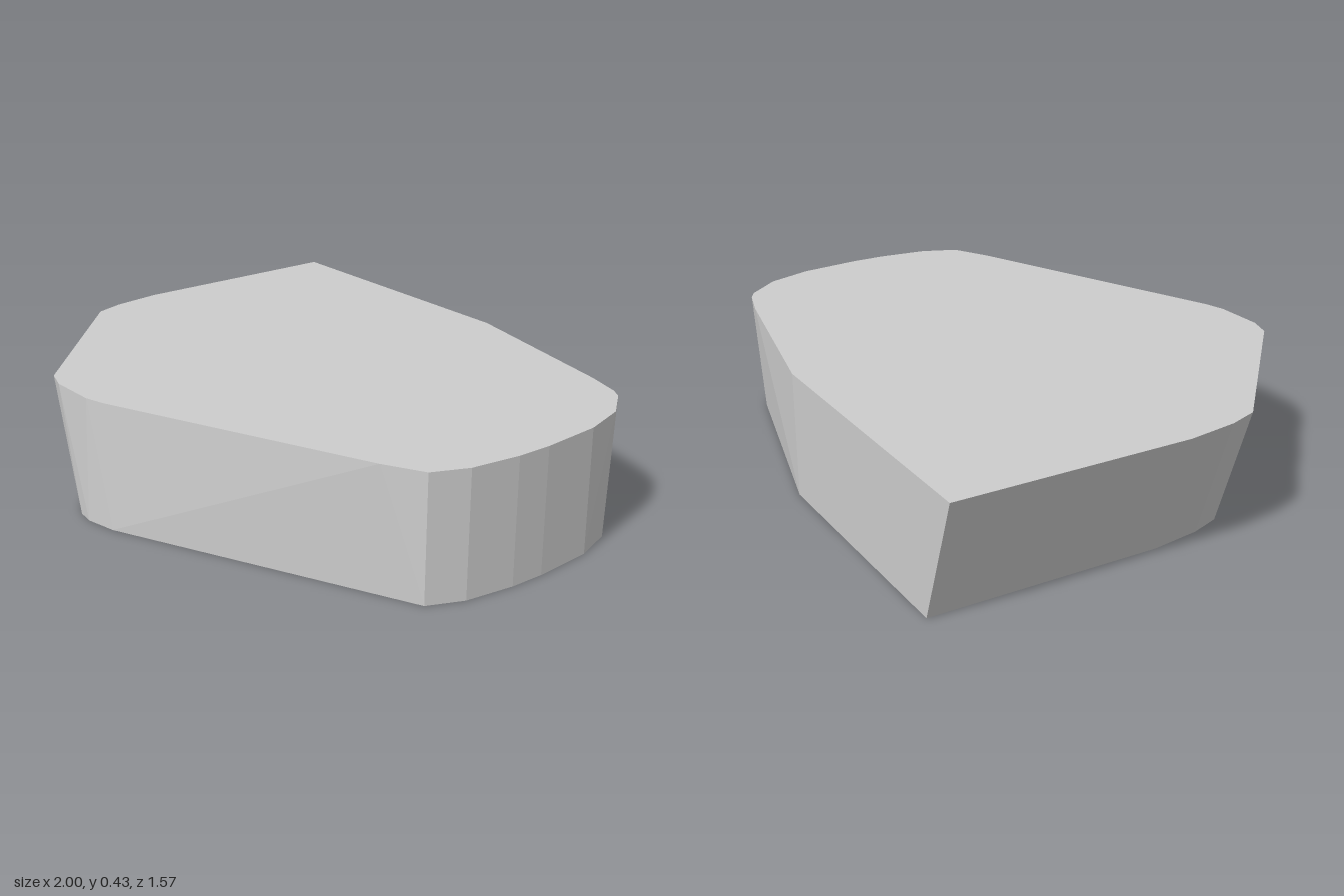
import * as THREE from 'three';
import { ConvexGeometry } from 'three/addons/geometries/ConvexGeometry.js';

const HEIGHT = 0.425;

// Outlines as [x, z], clockwise from the back right corner
const rightCurve = [[0.98, -0.33], [1, -0.12], [1, 0], [0.98, 0.17], [0.93, 0.29]];

const topOutline = [
  [-1, -0.785], [0.04, -0.785], [0.68, -0.655], [0.8, -0.62], [0.84, -0.597], [0.93, -0.485],
  ...rightCurve,
  [0.8, 0.36], [-0.1, 0.745], [-0.17, 0.765], [-0.34, 0.77], [-0.42, 0.745],
  [-0.94, 0.27], [-0.975, 0.17], [-1, 0],
];

const bottomOutline = [
  [-0.85, -0.785], [0.04, -0.785], [0.79, -0.595], [0.86, -0.55], [0.93, -0.467],
  ...rightCurve,
  [-0.06, 0.755], [-0.17, 0.78], [-0.23, 0.773], [-0.29, 0.745],
  [-0.79, 0.27], [-0.825, 0.17], [-0.85, 0],
];

export function createModel() {
  const group = new THREE.Group();
  group.name = 'model';

  const grey = new THREE.MeshStandardMaterial({ color: 0xcccccc });
  grey.name = 'grey';

  // Faceted slab: the convex body spanning the two outlines, overhanging at its right
  const points = [
    ...topOutline.map(([x, z]) => new THREE.Vector3(x, HEIGHT, z)),
    ...bottomOutline.map(([x, z]) => new THREE.Vector3(x, 0, z)),
  ];
  const slab = new THREE.Mesh(new ConvexGeometry(points), grey);
  slab.name = 'slab';
  group.add(slab);

  return group;
}
